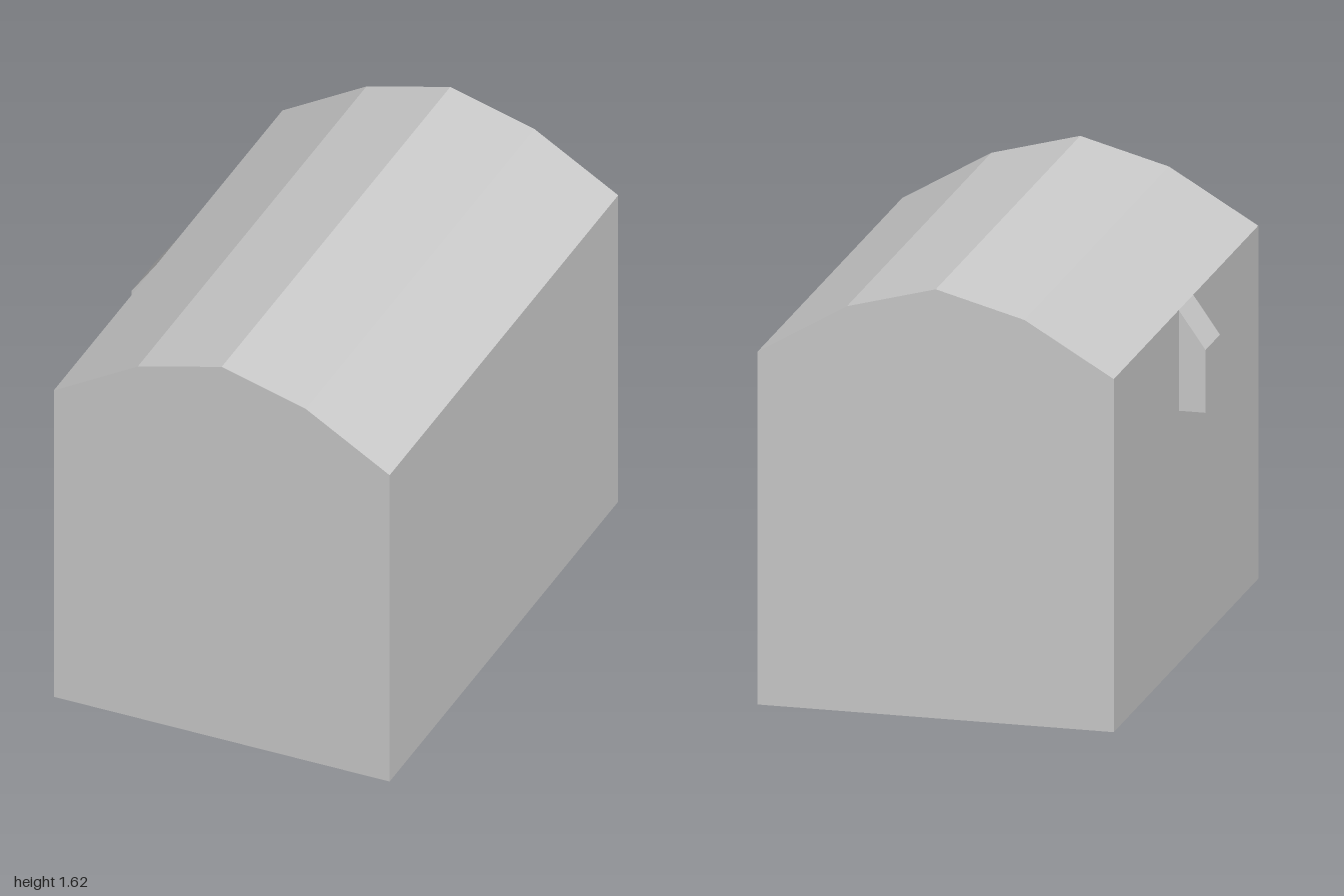
import * as THREE from 'three';

const material = new THREE.MeshStandardMaterial({ color: 0xcccccc, flatShading: true });

// Extrudes an x-y outline to the given length, centred on z = 0
function prism(name, points, length) {
  const shape = new THREE.Shape(points.map(([x, y]) => new THREE.Vector2(x, y)));
  const geometry = new THREE.ExtrudeGeometry(shape, { depth: length, bevelEnabled: false });
  geometry.translate(0, 0, -length / 2);
  const mesh = new THREE.Mesh(geometry, material);
  mesh.name = name;
  return mesh;
}

export function createModel() {
  const group = new THREE.Group();
  group.name = 'chest';

  const left = 0.717, right = -0.617, rim = 1.333;

  // Box with a four-facet domed lid
  group.add(prism('chestBody', [
    [right, 0], [left, 0], [left, rim],
    [0.383, 1.53], [0.05, 1.62], [-0.283, 1.53],
    [right, rim],
  ], 2));

  // Latch with a sloped top, hanging from the lid's rim
  group.add(prism('latch', [
    [-0.717, 0.953], [right, 0.953], [right, rim], [-0.717, 1.19],
  ], 0.2));

  return group;
}
